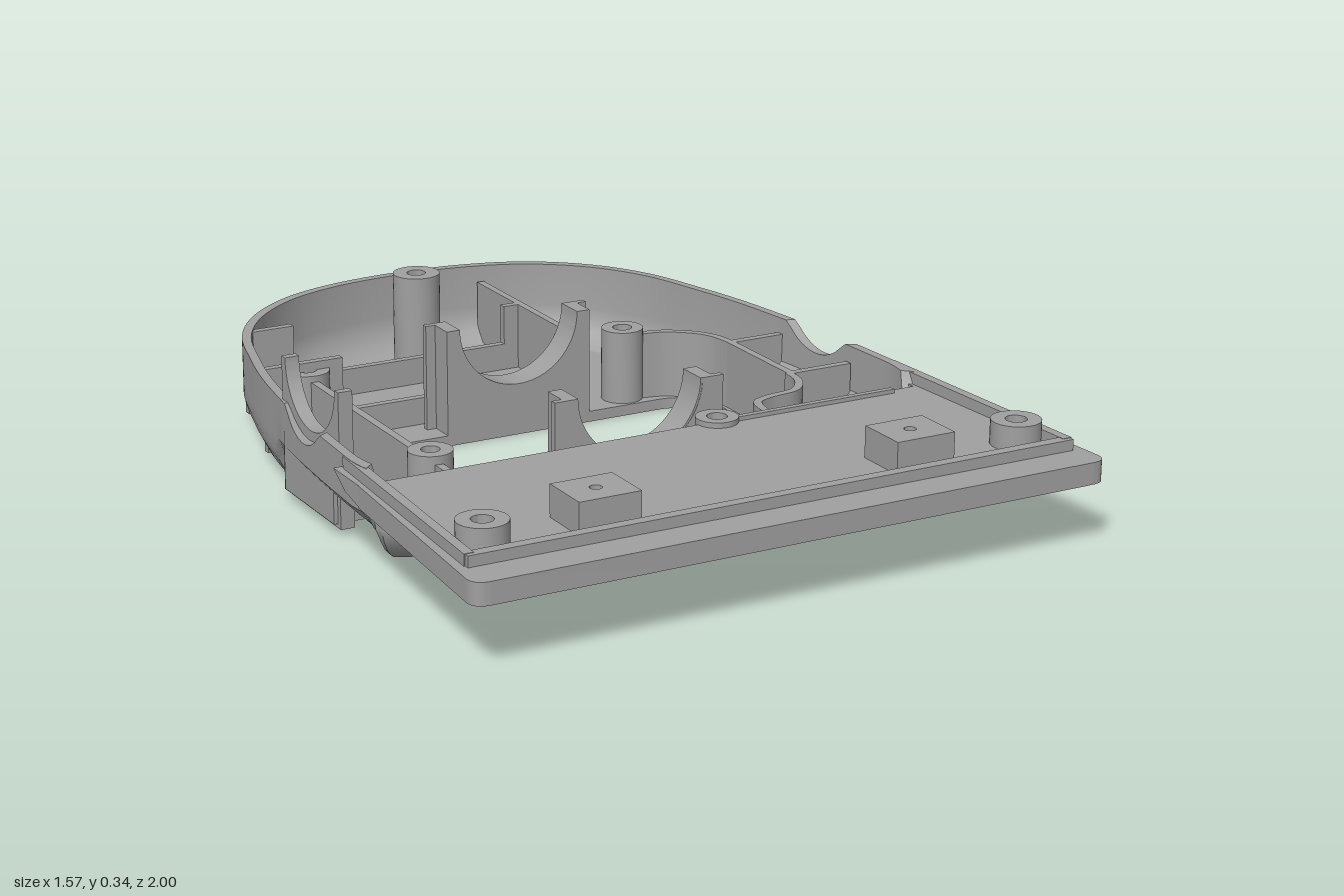
import * as THREE from 'three';
import { toCreasedNormals } from 'three/addons/utils/BufferGeometryUtils.js';

const grey = new THREE.MeshStandardMaterial({ color: 0xa0a0a0, side: THREE.DoubleSide });
grey.name = 'grey plastic';

const V = (x, y) => new THREE.Vector2(x, y);
const smooth = THREE.MathUtils.smoothstep;

export function createModel() {
  const model = new THREE.Group();
  model.name = 'lowerHousing';

  const add = (name, geometry) => {
    const mesh = new THREE.Mesh(toCreasedNormals(geometry, 0.6), grey);
    mesh.name = name;
    model.add(mesh);
    return mesh;
  };
  // Extrude an (x, z) shape between two heights
  const slab = (name, shape, y0, y1) => {
    const g = new THREE.ExtrudeGeometry(shape, { depth: y1 - y0, bevelEnabled: false, curveSegments: 16 });
    return add(name, g.rotateX(Math.PI / 2).translate(0, y1, 0));
  };
  const box = (name, x0, x1, y0, y1, z0, z1) =>
    add(name, new THREE.BoxGeometry(x1 - x0, y1 - y0, z1 - z0)
      .translate((x0 + x1) / 2, (y0 + y1) / 2, (z0 + z1) / 2));
  const circle = (x, z, r) => new THREE.Path().absarc(x, z, r, 0, Math.PI * 2, true);
  const post = (name, x, z, r, hole, y0, y1) => {
    const s = new THREE.Shape().absarc(x, z, r, 0, Math.PI * 2, false);
    s.holes.push(circle(x, z, hole));
    slab(name, s, y0, y1);
  };
  // Thin upright wall following a list of (x, z) points
  const ribbon = (name, pts, t, y0, y1) => {
    const c = new THREE.SplineCurve(pts.map(p => V(...p)));
    const a = [], b = [];
    for (let i = 0; i <= 24; i++) {
      const p = c.getPoint(i / 24), d = c.getTangent(i / 24);
      a.push(V(p.x - d.y * t / 2, p.y + d.x * t / 2));
      b.unshift(V(p.x + d.y * t / 2, p.y - d.x * t / 2));
    }
    slab(name, new THREE.Shape([...a, ...b]), y0, y1);
  };

  // Bowl outline: an arch at the back, straight across the front
  const half = [[0.2, -0.98], [0.35, -0.925], [0.48, -0.82], [0.57, -0.68], [0.625, -0.5], [0.66, -0.35],
    [0.69, -0.15], [0.705, 0], [0.718, 0.2], [0.72, 0.3], [0.7, 0.37], [0.64, 0.4], [0.5, 0.4], [0.25, 0.4]];
  const loop = [[0, -1], ...half, [0, 0.4], ...half.map(([x, z]) => [-x, z]).reverse()];
  const outline = new THREE.CatmullRomCurve3(loop.map(([x, z]) => new THREE.Vector3(x, 0, z)), true)
    .getSpacedPoints(240).slice(0, -1);

  // Rim height, dipping at the shaft notches on both sides and under the deck
  const rim = p => {
    const dz = p.z + 0.03;
    let y = 0.24 - 0.07 * smooth(p.z, 0.34, 0.37);
    if (Math.abs(dz) < 0.145) y = Math.min(y, 0.335 - Math.sqrt(0.0225 - dz * dz));
    return y;
  };
  // Inset ring; the scoop narrows the lower sides toward the front
  const ring = (d, y, scoop = 0) => outline.map(p => {
    const s = scoop * smooth(p.z, -0.24, -0.19) * (1 - smooth(p.z, 0.3, 0.38));
    return new THREE.Vector3(p.x * (1 - (d + s) / 0.72), y ?? rim(p), -0.3 + (p.z + 0.3) * (1 - d / 0.7));
  });
  const rings = [ring(0.09, 0.005, 0.05), ring(0.05, 0.018, 0.065), ring(0.025, 0.042, 0.07), ring(0.007, 0.075, 0.06),
    ring(0, 0.1, 0.03), ring(0, 0.135), ring(0, null), ring(0.024, null), ring(0.026, 0.13),
    ring(0.03, 0.1, 0.03), ring(0.045, 0.07, 0.06), ring(0.065, 0.045, 0.065), ring(0.09, 0.032, 0.05)];
  const n = outline.length, index = [];
  for (let k = 0; k < rings.length - 1; k++)
    for (let i = 0; i < n; i++) {
      const j = (i + 1) % n, a = k * n, b = a + n;
      index.push(a + i, b + i, a + j, a + j, b + i, b + j);
    }
  const shell = new THREE.BufferGeometry().setFromPoints(rings.flat());
  shell.setIndex(index);
  add('bowlWall', shell);

  // Floor with the large rounded opening and a screw hole
  const floor = new THREE.Shape(rings[0].map(p => V(p.x, p.z)));
  const opening = new THREE.Path();
  opening.absarc(0.39, 0.09, 0.11, 0, Math.PI / 2);
  opening.absarc(-0.39, 0.09, 0.11, Math.PI / 2, Math.PI);
  opening.absarc(-0.39, -0.2, 0.11, Math.PI, Math.PI * 1.5);
  opening.absarc(0.39, -0.2, 0.11, Math.PI * 1.5, Math.PI * 2);
  opening.closePath();
  floor.holes.push(opening, circle(0, -0.88, 0.022));
  slab('floor', floor, 0.005, 0.032);

  // Front deck
  const deck = new THREE.Shape();
  deck.moveTo(-0.743, 0.36);
  deck.lineTo(0.743, 0.36);
  deck.lineTo(0.785, 0.96);
  deck.quadraticCurveTo(0.787, 1, 0.745, 1);
  deck.lineTo(-0.745, 1);
  deck.quadraticCurveTo(-0.787, 1, -0.785, 0.96);
  deck.closePath();
  for (const s of [-1, 1]) deck.holes.push(circle(s * 0.67, 0.81, 0.025));
  slab('deck', deck, 0.16, 0.212);
  box('deckFrontLip', -0.755, 0.755, 0.212, 0.238, 0.885, 0.912);
  box('deckRib', 0.2, 0.63, 0.212, 0.222, 0.367, 0.382);

  for (const s of [-1, 1]) {
    slab('deckSideLip', new THREE.Shape([V(s * 0.7, 0.24), V(s * 0.724, 0.24), V(s * 0.758, 0.9), V(s * 0.735, 0.9)]), 0.21, 0.239);
    // Tapered ends of the deck wrapping the bowl
    const wedge = new THREE.Shape([V(-0.23, 0.212), V(-0.29, 0.176), V(-0.37, 0.16), V(-0.37, 0.212)]);
    add('deckSideTaper', new THREE.ExtrudeGeometry(wedge, { depth: 0.045, bevelEnabled: false })
      .rotateY(Math.PI / 2).translate(s * 0.72 - 0.0225, 0, 0));
    post('deckScrewPost', s * 0.67, 0.81, 0.058, 0.025, 0.2, 0.27);
    // Raised pads with a small pin hole
    const cx = s * 0.395;
    const pad = new THREE.Shape([V(cx - 0.075, 0.73), V(cx + 0.075, 0.73), V(cx + 0.075, 0.86), V(cx - 0.075, 0.86)]);
    pad.holes.push(circle(cx, 0.795, 0.014));
    slab('deckPad', pad, 0.2, 0.287);
  }

  // Half-round cradles at the back and front of the opening
  const cradle = (w, r, cy) => {
    const s = new THREE.Shape();
    s.moveTo(-w, 0.02);
    s.lineTo(w, 0.02);
    s.lineTo(w, cy);
    s.lineTo(r, cy);
    s.absarc(0, cy, r, 0, Math.PI, true);
    s.lineTo(-w, cy);
    s.closePath();
    return s;
  };
  const extrude = (s, depth) => new THREE.ExtrudeGeometry(s, { depth, bevelEnabled: false, curveSegments: 28 });
  for (const [z0, z1, zf] of [[-0.39, -0.31, -0.39], [0.205, 0.285, 0.27]]) {
    add('cradle', extrude(cradle(0.195, 0.16, 0.295), z1 - z0).translate(0, 0, z0));
    add('cradleFlange', extrude(cradle(0.22, 0.165, 0.295), 0.016).translate(0, 0, zf));
  }
  // Tall side clip with a round seat
  const clip = cradle(0.155, 0.135, 0.345);
  add('sideClip', extrude(clip, 0.035).rotateY(Math.PI / 2).translate(-0.68, 0, -0.03));
  box('sideClipBase', -0.69, -0.615, 0.03, 0.17, -0.16, 0.11);

  // Screw posts
  post('rearPost', 0, -0.88, 0.06, 0.024, 0.03, 0.27);
  post('post', -0.51, -0.43, 0.055, 0.024, 0.02, 0.215);
  post('post', -0.51, 0.24, 0.052, 0.022, 0.02, 0.22);
  post('post', 0.32, -0.37, 0.052, 0.024, 0.02, 0.215);
  post('post', 0.16, 0.36, 0.05, 0.024, 0.1, 0.225);
  box('rearPostWeb', -0.008, 0.008, 0.03, 0.22, -0.975, -0.935);

  // Stiffening ribs: low in the middle, tall at the ends
  for (const [z, x0] of [[-0.72, -0.545], [-0.43, -0.62]]) {
    box('crossRib', x0, 0.21, 0.025, 0.1, z - 0.01, z + 0.01);
    box('crossRibEnd', x0, -0.42, 0.05, 0.235, z - 0.01, z + 0.01);
    box('crossRibEnd', 0.165, 0.21, 0.05, 0.2, z - 0.01, z + 0.01);
  }
  box('longRib', 0.205, 0.224, 0.025, 0.2, -0.94, -0.37);
  box('openingSideWall', -0.523, -0.503, 0.01, 0.2, -0.39, 0.2);
  box('openingSideWall', -0.523, -0.503, 0.04, 0.2, 0.28, 0.365);

  // Curved guard along the other side of the opening
  ribbon('guardRearCurve', [[0.36, -0.35], [0.42, -0.335], [0.48, -0.29], [0.51, -0.24], [0.52, -0.18]], 0.02, 0.02, 0.2);
  ribbon('guardSide', [[0.52, -0.18], [0.52, 0.1]], 0.02, 0.02, 0.2);
  ribbon('guardFrontCurve', [[0.515, 0.1], [0.505, 0.16], [0.46, 0.215], [0.38, 0.23], [0.33, 0.26], [0.315, 0.365]], 0.02, 0.02, 0.2);
  for (const z of [-0.18, 0.1]) box('guardEnd', 0.51, 0.685, 0.04, 0.2, z - 0.01, z + 0.01);
  box('guardBrace', 0.575, 0.59, 0.03, 0.16, -0.17, 0.1);

  return model;
}
